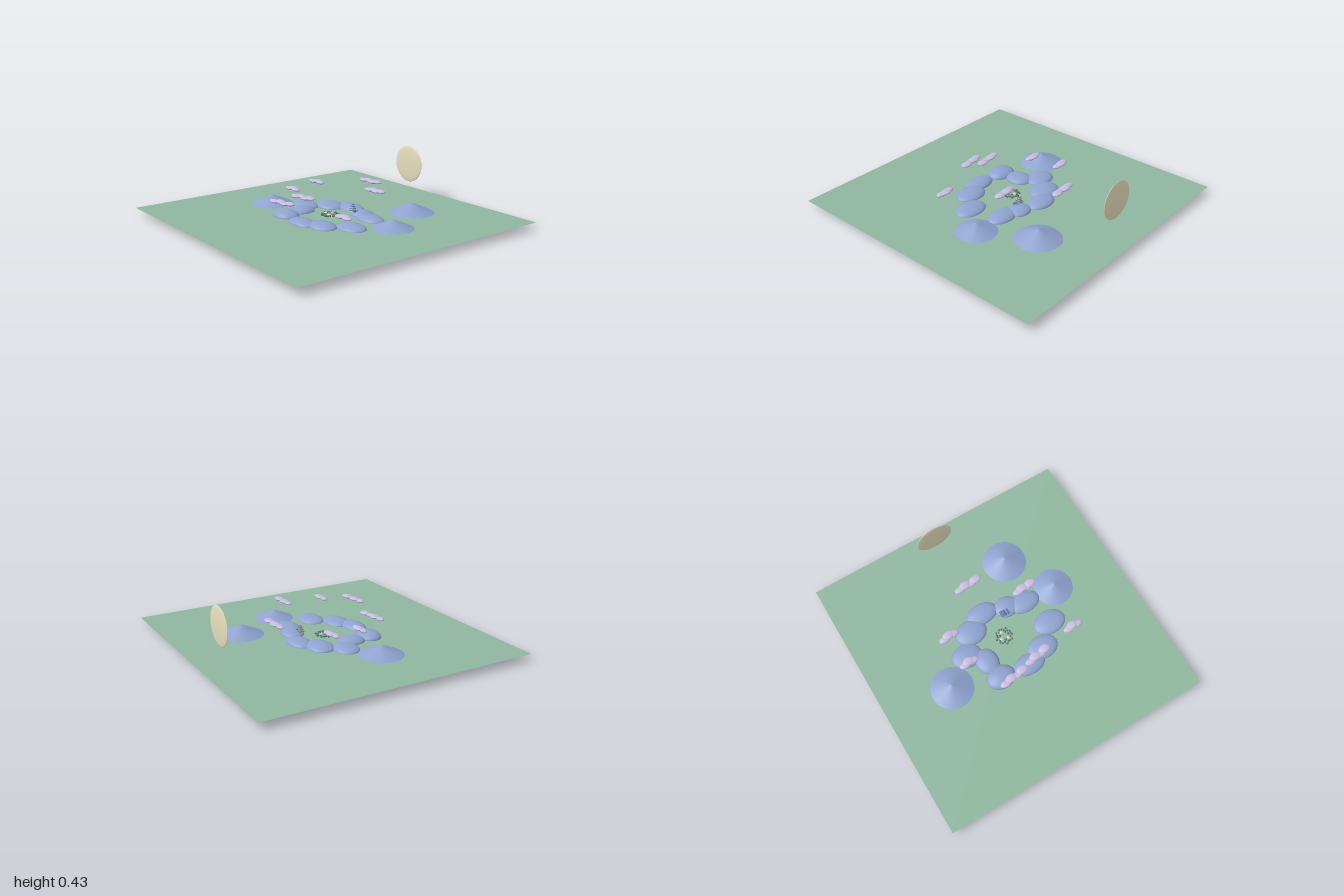
import * as THREE from 'three';

const mat = (name, color, extra = {}) => {
  const m = new THREE.MeshStandardMaterial({ color, ...extra });
  m.name = name;
  return m;
};

export function createModel() {
  const meadow = mat('meadow green', 0x8fb69f, { side: THREE.DoubleSide });
  const hillBlue = mat('hill blue', 0x8ea3cf);
  const lilac = mat('cloud lilac', 0xc6bce0);
  const cream = mat('sun cream', 0xe6e0bf);
  const slate = mat('roof slate', 0x5f7396);
  const wall = mat('wall cream', 0xd9d2b4);
  const leaf = mat('tree green', 0x4f7a66);

  const model = new THREE.Group();
  model.name = 'landscape';
  const group = (name, parent = model) => {
    const g = new THREE.Group();
    g.name = name;
    parent.add(g);
    return g;
  };
  const add = (parent, name, geo, material, x, y, z) => {
    const m = new THREE.Mesh(geo, material);
    m.name = name;
    m.position.set(x, y, z);
    parent.add(m);
    return m;
  };
  const GROUND = 0.052;

  // Flat ground sheet
  add(model, 'ground', new THREE.PlaneGeometry(2, 2), meadow, 0, GROUND, 0).rotation.x = -Math.PI / 2;

  // Ring of rounded hills: x, z, half width, half depth, half height
  const ball = new THREE.SphereGeometry(1, 32, 20);
  const hills = group('hills');
  [
    [-0.05, -0.23, 0.12, 0.08, 0.036], [-0.19, -0.145, 0.12, 0.095, 0.038],
    [-0.305, -0.01, 0.112, 0.09, 0.034], [-0.2, 0.1, 0.085, 0.1, 0.038],
    [-0.175, 0.25, 0.108, 0.088, 0.046], [0.045, 0.27, 0.122, 0.078, 0.036],
    [0.19, 0.21, 0.118, 0.088, 0.036], [0.335, 0.075, 0.122, 0.09, 0.033],
    [0.26, -0.15, 0.12, 0.08, 0.036], [0.13, -0.185, 0.092, 0.08, 0.036],
  ].forEach(([x, z, rx, rz, ry]) => {
    add(hills, 'hill', ball, hillBlue, x, 0.05, z).scale.set(rx, ry, rz);
  });

  // Cone mountains, sunk a little below the ground sheet
  const mountains = group('mountains');
  [
    [-0.508, 0.14, 0.182, 0.08], [0.505, -0.14, 0.17, 0.075], [0.303, -0.5, 0.187, 0.086],
  ].forEach(([x, z, r, h]) => {
    add(mountains, 'mountain', new THREE.ConeGeometry(r, h, 40), hillBlue, x, 0.04 + h / 2, z);
  });

  // Flattened sun disc
  add(model, 'sun', new THREE.SphereGeometry(1, 48, 24), cream, -0.086, 0.293, -0.825).scale.set(0.139, 0.137, 0.011);

  // Clouds made of flat puffs: start x, end x, start z, end z, height, puff count
  const clouds = group('clouds');
  [
    [-0.16, 0.055, -0.41, -0.415, 0.225, 4], [-0.435, -0.28, -0.15, -0.16, 0.201, 3],
    [-0.405, -0.26, 0.08, 0.075, 0.188, 3], [0.178, 0.365, -0.175, -0.18, 0.255, 4],
    [0.355, 0.505, 0.22, 0.215, 0.174, 3], [-0.23, 0.0, 0.335, 0.315, 0.17, 4],
    [-0.015, 0.195, 0.305, 0.285, 0.247, 4],
  ].forEach(([x0, x1, z0, z1, y, n]) => {
    const cloud = group('cloud', clouds);
    const r = 0.043;
    for (let i = 0; i < n; i++) {
      const t = i / (n - 1);
      const odd = i % 2;
      add(cloud, 'puff', ball, lilac,
        THREE.MathUtils.lerp(x0 + r, x1 - r, t),
        y + (odd ? 0.003 : -0.002),
        THREE.MathUtils.lerp(z0, z1, t) + (odd ? -0.006 : 0.003)
      ).scale.set(r, 0.012, odd ? 0.03 : 0.025);
    }
  });

  // Little tiered tower on the back hills
  const tower = group('tower');
  tower.position.set(0.08, 0.068, -0.145);
  const tierRoof = new THREE.CylinderGeometry(0.45, 1, 1, 4, 1).rotateY(Math.PI / 4);
  for (let i = 0; i < 4; i++) {
    const w = 0.044 - i * 0.009;
    add(tower, 'tierWall', new THREE.BoxGeometry(w * 0.75, 0.012, w * 0.75), wall, 0, 0.006 + i * 0.013, 0);
    add(tower, 'tierRoof', tierRoof, slate, 0, 0.0135 + i * 0.013, 0).scale.set(w * 0.75, 0.005, w * 0.75);
  }
  add(tower, 'spire', new THREE.ConeGeometry(0.003, 0.01, 8), wall, 0, 0.059, 0);
  add(tower, 'gateHouse', new THREE.BoxGeometry(0.014, 0.02, 0.04), slate, 0.036, 0.006, 0);

  // Tiny village ringed by trees in the middle of the valley
  const village = group('village');
  const crown = new THREE.IcosahedronGeometry(0.0075, 1);
  const hut = new THREE.BoxGeometry(0.015, 0.012, 0.012);
  const hutRoof = new THREE.ConeGeometry(0.013, 0.008, 4).rotateY(Math.PI / 4);
  for (let i = 0; i < 22; i++) {
    const a = (i / 22) * Math.PI * 2;
    const r = 0.053 + 0.008 * Math.sin(i * 2.4);
    add(village, 'tree', crown, leaf, Math.cos(a) * r, GROUND + 0.006, Math.sin(a) * r);
  }
  for (let i = 0; i < 7; i++) {
    const a = (i / 7) * Math.PI * 2;
    const x = Math.cos(a) * 0.032, z = Math.sin(a) * 0.032;
    add(village, 'hut', hut, wall, x, GROUND + 0.006, z).rotation.y = -a;
    add(village, 'hutRoof', hutRoof, i % 2 ? cream : slate, x, GROUND + 0.016, z).rotation.y = -a;
  }

  return model;
}
